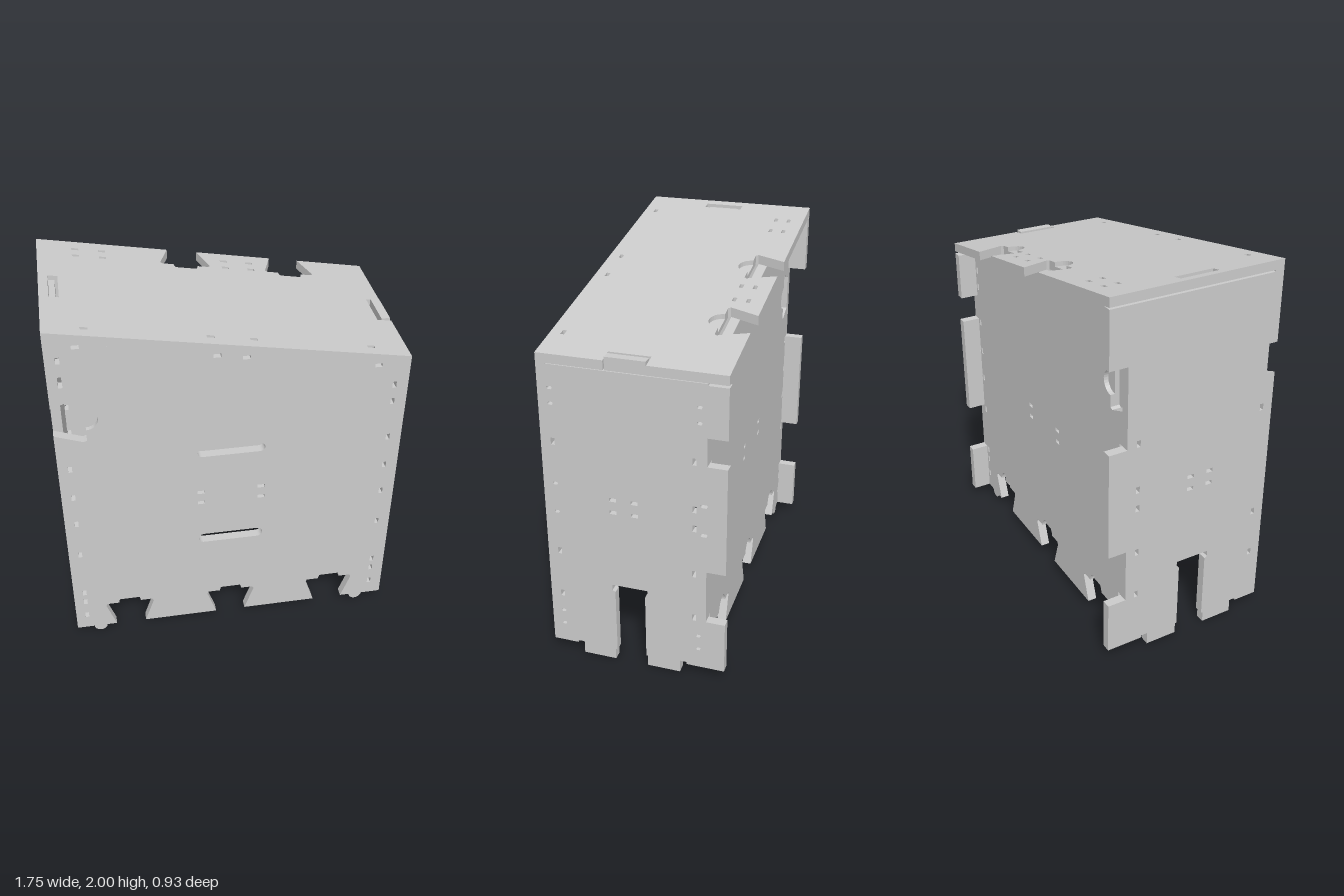
import * as THREE from 'three';

const W = 0.875, D = 0.463, T = 0.048, BASE = 0.057;
const roofTop = (x) => 1.845 - 0.155 * (x / W);
const roofUnder = (x) => roofTop(x) - T;
const mat = new THREE.MeshStandardMaterial({ color: 0xcccccc, flatShading: true });

// points on an arc, angles in degrees
function arc(cx, cy, r, a0, a1, n = 14) {
  return Array.from({ length: n + 1 }, (_, i) => {
    const a = THREE.MathUtils.degToRad(a0 + (a1 - a0) * i / n);
    return [cx + r * Math.cos(a), cy + r * Math.sin(a)];
  });
}

// rectangular or rounded hole given by centre and size
const rect = (x, y, w, h) => [
  [x - w / 2, y - h / 2], [x - w / 2, y + h / 2], [x + w / 2, y + h / 2], [x + w / 2, y - h / 2]];
const slot = (x, y, w, h) => [
  ...arc(x + (w - h) / 2, y, h / 2, 90, -90), ...arc(x - (w - h) / 2, y, h / 2, -90, -270)];

function sheet(outline, holes, depth) {
  const vec = (pts) => pts.map(([x, y]) => new THREE.Vector2(x, y));
  const shape = new THREE.Shape(vec(outline));
  holes.forEach((h) => shape.holes.push(new THREE.Path(vec(h))));
  return new THREE.ExtrudeGeometry(shape, { depth, bevelEnabled: false });
}

function add(group, name, geo) {
  const mesh = new THREE.Mesh(geo, mat);
  mesh.name = name;
  group.add(mesh);
  return mesh;
}

// outline of the front and back walls; pocket adds the thumb recesses
function wallOutline(half, pocket) {
  const p = [[-half, BASE], ...arc(-0.745, BASE, 0.036, 180, 360)];
  for (const cx of [-0.573, -0.006, 0.56]) {
    p.push([cx - 0.082, BASE], [cx - 0.132, 0.205], [cx - 0.125, 0.22]);
    if (pocket) p.push(...arc(cx, 0.22, 0.06, 180, 0));
    p.push([cx + 0.125, 0.22], [cx + 0.132, 0.205], [cx + 0.082, BASE]);
  }
  p.push(...arc(0.73, BASE, 0.036, 180, 360), [half, BASE]);
  p.push([half, roofUnder(half)], [-half, roofUnder(-half)]);
  // dovetail opening in the tall edge
  p.push([-half, 1.58 + (W - half) * 0.33], [-0.735, 1.632], [-0.718, 1.625]);
  if (pocket) p.push(...arc(-0.718, 1.5, 0.062, 90, -90));
  p.push([-0.718, 1.375], [-0.735, 1.368], [-half, 1.42 - (W - half) * 0.33]);
  return p;
}

// tie holes shared by both walls
function wallHoles() {
  const h = [];
  for (const y of [0.155, 0.26, 0.33, 0.62, 0.84, 1.02, 1.205]) {
    h.push(rect(-0.815, y, 0.02, 0.036), rect(0.805, y, 0.02, 0.036));
  }
  h.push(rect(0.805, 1.43, 0.02, 0.036), rect(0.805, 1.53, 0.02, 0.036));
  h.push(rect(-0.815, 1.725, 0.02, 0.06), rect(-0.815, 1.845, 0.02, 0.036));
  for (const x of [-0.165, 0.15]) for (const y of [0.895, 0.965]) h.push(rect(x, y, 0.038, 0.02));
  return h;
}

// outline of a side wall, drawn with horizontal = -z
function sideOutline(top, backEdge) {
  const f = -D + T;
  return [
    [f, BASE], [-0.33, BASE], [-0.33, 0.07], [-0.295, 0.07], [-0.295, 0], [-0.12, 0], [-0.12, 0.06],
    [-0.11, 0.06], [-0.11, 0.425], [-0.125, 0.435], [-0.125, 0.467], [0.062, 0.467], [0.062, 0.435],
    [0.048, 0.425], [0.048, 0.06], [0.057, 0.06], [0.057, 0], [0.23, 0], [0.23, 0.07], [0.265, 0.07],
    [0.265, BASE], [D, BASE], ...backEdge, [f, top]];
}

export function createModel() {
  const model = new THREE.Group();

  // front wall: plain inner layer, recessed outer layer
  const front = new THREE.Group();
  front.name = 'frontWall';
  const frontHoles = [...wallHoles(), slot(-0.008, 1.224, 0.345, 0.052), slot(-0.008, 0.64, 0.345, 0.058)];
  for (const [x, y] of [[-0.73, 1.915], [-0.08, 1.802], [0.06, 1.777], [0.713, 1.662]]) {
    frontHoles.push(rect(x, Math.min(y, roofUnder(x) - 0.016), 0.036, 0.02));
  }
  add(front, 'frontInnerLayer', sheet(wallOutline(W, false), frontHoles, T / 2)).position.z = D - T;
  add(front, 'frontOuterLayer', sheet(wallOutline(W, true), frontHoles, T / 2)).position.z = D - T / 2;
  model.add(front);

  // back wall, set in between the sides
  const back = new THREE.Group();
  back.name = 'backWall';
  add(back, 'backInnerLayer', sheet(wallOutline(W - T, false), wallHoles(), T / 2)).position.z = -0.341;
  add(back, 'backOuterLayer', sheet(wallOutline(W - T, true), wallHoles(), T / 2)).position.z = -0.365;
  model.add(back);

  // side walls with stepped rear edges
  const R = 0.365;
  const lowSteps = [[D, 0.345], [R, 0.345], [R, 0.642], [D, 0.642], [D, 1.222], [R, 1.222]];
  const sideHoles = [];
  for (const y of [0.36, 0.62, 1.24]) {
    sideHoles.push(rect(-0.401, y, 0.02, 0.036), rect(0.304, y, 0.02, 0.036));
  }
  for (const y of [0.88, 0.985]) sideHoles.push(rect(0.304, y, 0.02, 0.036));
  for (const u of [-0.107, 0.003]) for (const y of [0.895, 0.965]) sideHoles.push(rect(u, y, 0.036, 0.02));
  const smallHoles = [];
  for (const y of [0.17, 0.25, 1.44, 1.52]) {
    smallHoles.push(slot(-0.401, y, 0.026, 0.016), slot(0.328, y, 0.026, 0.016));
  }
  for (const y of [0.85, 1.01]) smallHoles.push(slot(-0.401, y, 0.026, 0.016), slot(0.352, y, 0.036, 0.018));
  const lowTop = roofUnder(W) - 0.003, highTop = roofUnder(-W + T);
  const leftEdge = [...lowSteps, [R, 1.37], [D, 1.37], [D, 1.63], [R, 1.63], [R, lowTop]];
  const rightEdge = [...lowSteps, [R, 1.65], [D, 1.65], [D, highTop]];
  const low = add(model, 'leftWall', sheet(sideOutline(lowTop, leftEdge), [...sideHoles, ...smallHoles], T).rotateY(Math.PI / 2));
  low.position.x = W - T;
  const high = add(model, 'rightWall', sheet(sideOutline(highTop, rightEdge), sideHoles, T).rotateY(Math.PI / 2));
  high.position.x = -W;

  // sloping roof, drawn with vertical = -z and then sheared
  const roofOutline = (pocket) => {
    const p = [[-W, -D], [W, -D], [W, -0.13], [0.8, -0.13], [0.8, 0.078], [W, 0.078], [W, D]];
    for (const cx of [0.435, -0.122]) {
      p.push([cx + 0.078, D], [cx + 0.13, 0.315], [cx + 0.12, 0.303]);
      if (pocket) p.push(...arc(cx, 0.303, 0.062, 0, -180));
      p.push([cx - 0.12, 0.303], [cx - 0.13, 0.315], [cx - 0.078, D]);
    }
    p.push([-W, D]);
    return p;
  };
  const roofHoles = [rect(-0.805, -0.026, 0.048, 0.208)];
  for (const x of [-0.683, -0.102, 0.105, 0.685]) roofHoles.push(rect(x, -0.398, 0.036, 0.02));
  for (const x of [-0.683, -0.547, 0.09, 0.227]) {
    for (const v of [0.311, 0.382]) roofHoles.push(rect(x, v, 0.036, 0.02));
  }
  const roof = new THREE.Group();
  roof.name = 'roof';
  [false, true].forEach((pocket, i) => {
    const geo = sheet(roofOutline(pocket), roofHoles, T / 2).rotateX(-Math.PI / 2);
    const pos = geo.attributes.position;
    for (let k = 0; k < pos.count; k++) {
      pos.setY(k, pos.getY(k) + roofUnder(pos.getX(k)) + i * T / 2);
    }
    geo.computeVertexNormals();
    add(roof, pocket ? 'roofOuterLayer' : 'roofInnerLayer', geo);
  });
  model.add(roof);

  // wall tabs held in the roof slots
  add(model, 'leftRoofTab', new THREE.BoxGeometry(0.045, 0.075, 0.2)).position.set(0.845, 1.668, 0.026);
  add(model, 'rightRoofTab', new THREE.BoxGeometry(0.03, 0.06, 0.17)).position.set(-0.812, 1.945, 0.026);
  return model;
}
